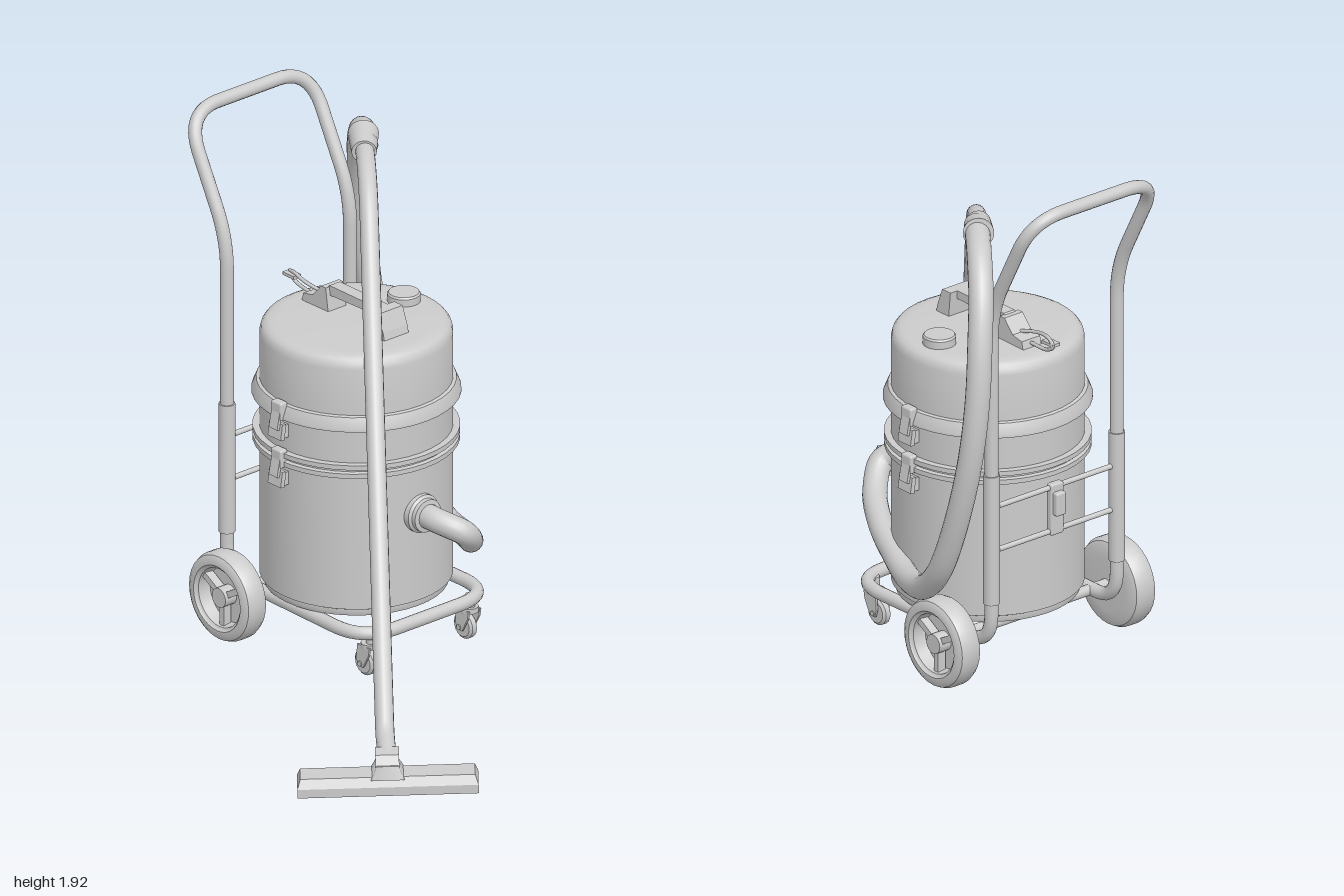
import * as THREE from 'three';
import { toCreasedNormals } from 'three/addons/utils/BufferGeometryUtils.js';
import { RoundedBoxGeometry } from 'three/addons/geometries/RoundedBoxGeometry.js';

const V = (x, y, z) => new THREE.Vector3(x, y, z);
const CX = 0.275, CZ = -0.38; // drum axis

export function createModel() {
  const model = new THREE.Group();
  model.name = 'canisterVacuum';
  const mat = new THREE.MeshStandardMaterial({ color: 0xcccccc, side: THREE.DoubleSide });

  function add(name, geo, x = 0, y = 0, z = 0, parent = model) {
    const m = new THREE.Mesh(geo, mat);
    m.name = name;
    m.position.set(x, y, z);
    parent.add(m);
    return m;
  }
  const group = (name, x, y, z) => {
    const g = new THREE.Group();
    g.name = name;
    g.position.set(x, y, z);
    model.add(g);
    return g;
  };
  const lathe = (pts, seg = 40) =>
    toCreasedNormals(new THREE.LatheGeometry(pts.map(p => new THREE.Vector2(...p)), seg), 0.6);
  const rod = (r, len) => new THREE.CylinderGeometry(r, r, len, 16);
  // cylinder between two points
  function rodBetween(name, a, b, r, r2 = r) {
    const m = add(name, new THREE.CylinderGeometry(r2, r, a.distanceTo(b), 20));
    m.position.copy(a).lerp(b, 0.5);
    m.quaternion.setFromUnitVectors(V(0, 1, 0), b.clone().sub(a).normalize());
    return m;
  }
  // polyline with rounded corners; each point may carry a corner radius
  function roundedPath(pts) {
    const path = new THREE.CurvePath();
    let last = pts[0].p;
    for (let i = 1; i < pts.length; i++) {
      const { p, r = 0 } = pts[i];
      if (i === pts.length - 1) { path.add(new THREE.LineCurve3(last, p)); break; }
      const a = p.clone().add(pts[i - 1].p.clone().sub(p).setLength(r));
      const b = p.clone().add(pts[i + 1].p.clone().sub(p).setLength(r));
      path.add(new THREE.LineCurve3(last, a));
      path.add(new THREE.QuadraticBezierCurve3(a, p, b));
      last = b;
    }
    return path;
  }
  // side profile in (z, y), extruded across x and centred
  function sideExtrude(pts, width) {
    const s = new THREE.Shape(pts.map(([z, y]) => new THREE.Vector2(-z, y)));
    return new THREE.ExtrudeGeometry(s, { depth: width, bevelEnabled: false })
      .translate(0, 0, -width / 2).rotateY(Math.PI / 2);
  }

  // Drum and lid
  add('drum', lathe([[0, 0.2], [0.33, 0.2], [0.335, 0.215], [0.335, 0.225], [0.345, 0.23], [0.345, 0.76], [0.345, 0.96]]), CX, 0, CZ);
  add('lid', lathe([[0.345, 0.95], [0.345, 1.165], [0.34, 1.187], [0.33, 1.2], [0.312, 1.208], [0.28, 1.21], [0, 1.213]]), CX, 0, CZ);
  add('upperBand', lathe([[0.34, 0.935], [0.374, 0.935], [0.374, 0.945], [0.357, 0.985], [0.34, 0.99]]), CX, 0, CZ);
  add('lowerBand', lathe([[0.34, 0.752], [0.37, 0.752], [0.37, 0.77], [0.355, 0.773], [0.355, 0.782],
    [0.37, 0.785], [0.37, 0.803], [0.34, 0.803]]), CX, 0, CZ);
  add('lidKnob', lathe([[0.06, 1.2], [0.06, 1.238], [0.055, 1.245], [0, 1.245]], 24), 0.505, 0, -0.385);

  // Lid carrying handle with cord
  const grip = group('lidHandle', 0.278, 0, 0);
  add('gripFront', sideExtrude([[-0.165, 1.2], [-0.175, 1.24], [-0.2, 1.305], [-0.245, 1.305], [-0.235, 1.2]], 0.115), 0, 0, 0, grip);
  add('gripBar', sideExtrude([[-0.2, 1.305], [-0.5, 1.305], [-0.545, 1.265], [-0.48, 1.268], [-0.22, 1.275]], 0.05), 0, 0, 0, grip);
  add('gripRear', sideExtrude([[-0.485, 1.2], [-0.5, 1.3], [-0.525, 1.3], [-0.57, 1.25], [-0.62, 1.24], [-0.63, 1.2]], 0.085), 0, 0, 0, grip);
  const cord = new THREE.CatmullRomCurve3([V(0, 1.25, -0.56), V(-0.015, 1.268, -0.64), V(0, 1.275, -0.72),
    V(0.015, 1.26, -0.76), V(0.01, 1.235, -0.72), V(0, 1.225, -0.62)]);
  add('cord', new THREE.TubeGeometry(cord, 30, 0.007, 8), 0, 0, 0, grip);
  add('cordClip', new THREE.BoxGeometry(0.035, 0.012, 0.06), 0, 1.262, -0.73, grip);

  // Latches on both sides of each band
  for (const side of [-1, 1]) for (const y of [0.95, 0.765]) {
    const g = group(side > 0 ? 'leftLatch' : 'rightLatch', CX + side * 0.36, y, CZ);
    add('latchHook', new RoundedBoxGeometry(0.035, 0.07, 0.055, 2, 0.008), side * 0.006, 0.015, 0, g);
    add('latchWire', new THREE.BoxGeometry(0.012, 0.085, 0.045), side * 0.022, -0.01, 0, g).rotation.z = side * 0.2;
    add('latchLever', new THREE.BoxGeometry(0.018, 0.06, 0.07), side * 0.017, -0.06, 0, g).rotation.z = side * 0.15;
    add('latchBase', new THREE.BoxGeometry(0.03, 0.05, 0.05), -side * 0.008, -0.065, 0, g);
  }

  // Trolley frame: base loop, uprights and push handle as one bent tube
  const L = -0.012, R = 0.572;
  const frame = roundedPath([
    { p: V(CX, 0.175, 0) }, { p: V(L - 0.015, 0.175, 0), r: 0.16 },
    { p: V(L, 0.175, -0.75), r: 0.12 }, { p: V(L, 1.48, -0.75), r: 0.12 },
    { p: V(L, 1.9, -0.97), r: 0.15 }, { p: V(R, 1.9, -0.97), r: 0.15 },
    { p: V(R, 1.48, -0.75), r: 0.12 }, { p: V(R, 0.175, -0.75), r: 0.12 },
    { p: V(R + 0.015, 0.175, 0), r: 0.16 }, { p: V(CX, 0.175, 0) }]);
  add('trolleyFrame', new THREE.TubeGeometry(frame, 260, 0.025, 14));
  for (const x of [L, R]) add('uprightSleeve', rod(0.03, 0.5), x, 0.59, -0.75);
  for (const y of [0.71, 0.54]) rodBetween('rearCrossRod', V(L, y, -0.75), V(R, y, -0.75), 0.01);
  add('rearBracket', new RoundedBoxGeometry(0.06, 0.2, 0.03, 2, 0.008), CX, 0.625, -0.75);
  add('rearBracketLever', new RoundedBoxGeometry(0.045, 0.09, 0.03, 2, 0.008), CX, 0.65, -0.772);
  rodBetween('axle', V(-0.15, 0.175, -0.61), V(0.7, 0.175, -0.61), 0.02);

  // Large rear wheels, spoked on the outside
  const tyre = lathe([[0, -0.052], [0.1, -0.052], [0.14, -0.05], [0.158, -0.042], [0.168, -0.022], [0.168, 0.022], [0.16, 0.042],
    [0.145, 0.052], [0.125, 0.052], [0.12, 0.044], [0.112, 0.04], [0.106, -0.01], [0, -0.01]], 32);
  for (const side of [-1, 1]) {
    const w = group(side > 0 ? 'leftWheel' : 'rightWheel', CX + side * 0.407, 0.175, -0.61);
    w.rotation.z = -side * Math.PI / 2;
    add('tyre', tyre, 0, 0, 0, w);
    add('hub', rod(0.037, 0.06), 0, 0.013, 0, w);
    for (let i = 0; i < 3; i++) {
      const pivot = new THREE.Group();
      pivot.name = 'spoke';
      // one spoke points straight down
      pivot.rotation.y = (side > 0 ? 0 : Math.PI) + i * Math.PI * 2 / 3;
      w.add(pivot);
      add('spokeBar', new THREE.BoxGeometry(0.085, 0.035, 0.024), 0.07, 0.012, 0, pivot);
    }
  }

  // Swivel casters at the front
  for (const x of [0.04, 0.51]) {
    const c = group('caster', x, 0, -0.06);
    add('casterStem', rod(0.018, 0.06), 0, 0.15, 0.025, c);
    add('casterCap', rod(0.034, 0.02), 0, 0.123, 0.02, c);
    add('casterWheel', lathe([[0, -0.018], [0.04, -0.018], [0.05, -0.01], [0.05, 0.01], [0.04, 0.018], [0, 0.018]], 20), 0, 0.052, 0, c)
      .rotation.z = Math.PI / 2;
    for (const s of [-1, 1]) add('casterFork', sideExtrude([[0.05, 0.125], [0.045, 0.095], [0.015, 0.04], [-0.012, 0.04],
      [-0.02, 0.07], [-0.015, 0.125]], 0.008), s * 0.027, 0, 0, c);
    add('casterAxle', rod(0.01, 0.07), 0, 0.052, 0, c).rotation.z = Math.PI / 2;
  }

  // Inlet, hose and wand
  add('hoseInlet', lathe([[0.072, -0.03], [0.072, 0.02], [0.062, 0.028], [0.062, 0.045], [0.045, 0.048]], 28), 0.275, 0.57, -0.04)
    .rotation.x = Math.PI / 2;
  const hose = new THREE.CatmullRomCurve3([
    [0.275, 0.57, -0.04], [0.28, 0.565, 0.05], [0.335, 0.53, 0.125], [0.42, 0.455, 0.07], [0.52, 0.4, -0.08],
    [0.6, 0.365, -0.25], [0.68, 0.355, -0.42], [0.76, 0.405, -0.6], [0.8, 0.52, -0.73], [0.81, 0.7, -0.82],
    [0.805, 1.0, -0.905], [0.785, 1.25, -0.925], [0.755, 1.45, -0.903], [0.705, 1.61, -0.85],
    [0.64, 1.71, -0.765], [0.56, 1.745, -0.66], [0.51, 1.745, -0.595]].map(p => V(...p)));
  add('hose', new THREE.TubeGeometry(hose, 160, 0.045, 18));
  rodBetween('hoseCuff', V(0.56, 1.75, -0.665), V(0.48, 1.735, -0.57), 0.056, 0.045);
  const wand = roundedPath([{ p: V(0.53, 1.745, -0.63) }, { p: V(0.37, 1.72, -0.425), r: 0.16 },
    { p: V(-0.465, 0.145, 0.61), r: 0.05 }, { p: V(-0.56, 0.105, 0.735) }]);
  add('wand', new THREE.TubeGeometry(wand, 140, 0.034, 16));

  // Floor nozzle: bevelled bar with a neck
  const nozzle = group('floorNozzle', -0.565, 0.012, 0.74);
  nozzle.rotation.set(0, -0.71, 0.026);
  const bar = new THREE.BoxGeometry(0.645, 0.066, 0.13, 1, 2, 1).translate(0, 0.033, 0);
  const pos = bar.attributes.position;
  for (let i = 0; i < pos.count; i++) if (pos.getY(i) > 0.05) { // narrow the top edge
    pos.setX(i, pos.getX(i) * 0.965);
    pos.setZ(i, pos.getZ(i) * 0.72);
  }
  add('nozzleBar', toCreasedNormals(bar, 0.3), 0, 0, 0, nozzle);
  add('nozzleNeck', sideExtrude([[0.045, 0.055], [0.035, 0.1], [0, 0.13], [-0.06, 0.135], [-0.075, 0.09], [-0.05, 0.055]], 0.085),
    0, 0, 0, nozzle);
  add('nozzleFlare', new THREE.CylinderGeometry(0.055, 0.085, 0.045, 4, 1).rotateY(Math.PI / 4), 0, 0.08, 0, nozzle);
  return model;
}
